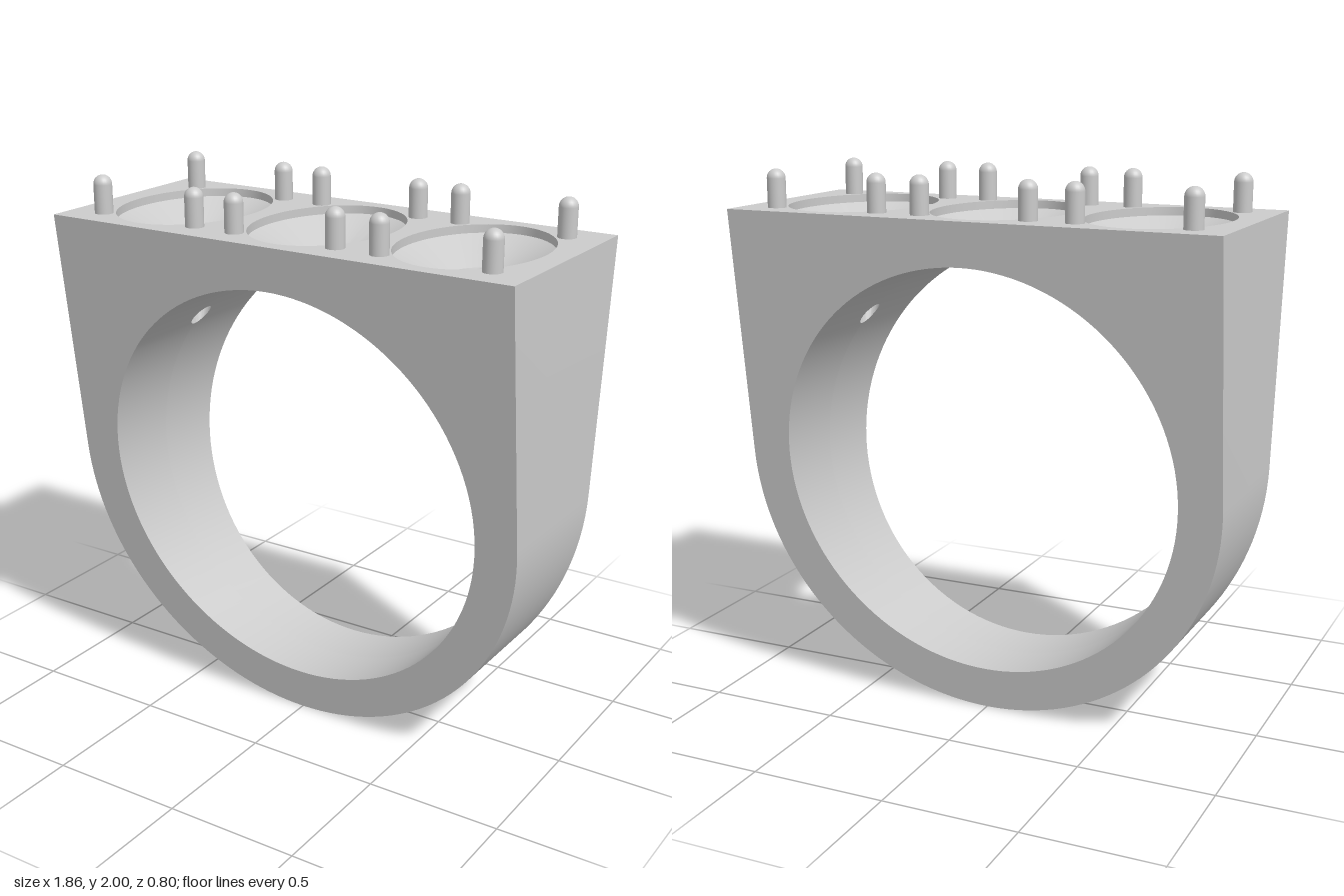
import * as THREE from 'three';
import { toCreasedNormals } from 'three/addons/utils/BufferGeometryUtils.js';

const OUTER = 0.928, BORE = 0.77, MID = 0.93, TOP = 1.86;
const SEAT_X = [-0.585, 0, 0.585];
const RIM = 0.257, WAIST = 0.11, RATIO = 1.335; // seat half-widths in x, z/x ratio
const STEP_Y = 1.83, WAIST_Y = 1.75;

// Half thickness of the band, widening upwards
const halfDepth = (y) => 0.18 + 0.22 * y / TOP;
// Half-width of the lower, steep part of a seat
const holeRadius = (y) => WAIST - 0.2435 * (WAIST_Y - y);
const V = (x, y, z) => new THREE.Vector3(x, y, z);

// Surface through rows of points
function loft(rows) {
  const n = rows[0].length, index = [];
  for (let i = 0; i < rows.length - 1; i++) {
    for (let j = 0; j < n - 1; j++) {
      const a = i * n + j, b = a + n;
      index.push(a, b, a + 1, a + 1, b, b + 1);
    }
  }
  const g = new THREE.BufferGeometry().setFromPoints(rows.flat());
  g.setIndex(index);
  return toCreasedNormals(g, 0.45);
}

// Point where a seat's steep cone breaks through into the finger hole
function trimPoint(xc, phi) {
  let lo = 1.3, hi = WAIST_Y;
  for (let i = 0; i < 40; i++) {
    const y = (lo + hi) / 2, x = xc + holeRadius(y) * Math.cos(phi);
    if (x * x + (y - MID) ** 2 > BORE * BORE) hi = y; else lo = y;
  }
  const r = holeRadius(lo);
  return V(xc + r * Math.cos(phi), lo, RATIO * r * Math.sin(phi));
}

// Stations around the finger hole: position and half-width of any opening there
function boreStations() {
  const out = [];
  const add = (a, xc) => {
    const x = BORE * Math.sin(a), y = MID + BORE * Math.cos(a);
    const h = xc === undefined ? 0
      : RATIO * Math.sqrt(Math.max(0, holeRadius(y) ** 2 - (x - xc) ** 2));
    out.push({ x, y, h });
  };
  const angleOf = (p) => Math.atan2(p.x, p.y - MID);
  const span = (a, b) => {
    const n = Math.max(2, Math.ceil((b - a) / 0.05));
    for (let i = 0; i < n; i++) add(a + (b - a) * i / n);
  };
  let a = -Math.PI;
  for (const xc of SEAT_X) {
    const start = angleOf(trimPoint(xc, Math.PI)), end = angleOf(trimPoint(xc, 0));
    span(a, start);
    for (let i = 0; i < 24; i++) {
      add(start + (end - start) * (1 - Math.cos(Math.PI * i / 24)) / 2, i ? xc : undefined);
    }
    a = end;
  }
  span(a, Math.PI);
  add(Math.PI);
  return out;
}

export function createModel() {
  const model = new THREE.Group();
  const material = new THREE.MeshStandardMaterial({ color: 0xcccccc });
  const add = (name, geometry, parent = model) => {
    const mesh = new THREE.Mesh(geometry, material);
    mesh.name = name;
    parent.add(mesh);
    return mesh;
  };

  // Outer U-shaped wall
  const outline = [new THREE.Vector2(-OUTER, TOP)];
  for (let i = 0; i <= 72; i++) {
    const t = Math.PI * (1 + i / 72);
    outline.push(new THREE.Vector2(OUTER * Math.cos(t), MID + MID * Math.sin(t)));
  }
  outline.push(new THREE.Vector2(OUTER, TOP));
  add('outerWall', loft([1, -1].map((s) => outline.map((p) => V(p.x, p.y, s * halfDepth(p.y))))));

  // Finger hole wall, split in two halves around the seat openings
  const stations = boreStations();
  const edge = (s) => stations.map((p) => V(p.x, p.y, s * halfDepth(p.y)));
  const lip = (s) => stations.map((p) => V(p.x, p.y, s * p.h));
  add('fingerHoleFrontHalf', loft([edge(1), lip(1)]));
  add('fingerHoleBackHalf', loft([lip(-1), edge(-1)]));

  // Sloping front and back faces
  const faceShape = new THREE.Shape(outline);
  faceShape.holes.push(new THREE.Path(stations.slice(0, -1).map((p) => new THREE.Vector2(p.x, p.y))));
  const face = new THREE.ShapeGeometry(faceShape);
  const pos = face.attributes.position;
  for (let i = 0; i < pos.count; i++) pos.setZ(i, halfDepth(pos.getY(i)));
  face.computeVertexNormals();
  add('frontFace', face);
  add('backFace', face).rotation.y = Math.PI;

  // Flat top with three oval openings
  const N = 72;
  const oval = (xc, r, y) => Array.from({ length: N + 1 }, (_, i) => {
    const t = 2 * Math.PI * i / N;
    return V(xc + r * Math.cos(t), y, RATIO * r * Math.sin(t));
  });
  const d = halfDepth(TOP);
  const deck = new THREE.Shape([[-OUTER, -d], [OUTER, -d], [OUTER, d], [-OUTER, d]]
    .map(([x, y]) => new THREE.Vector2(x, y)));
  for (const xc of SEAT_X) {
    deck.holes.push(new THREE.Path(oval(xc, RIM, 0).slice(0, -1).map((p) => new THREE.Vector2(p.x, p.z))));
  }
  add('topDeck', new THREE.ShapeGeometry(deck).rotateX(-Math.PI / 2).translate(0, TOP, 0));

  // Stone seats: short rim, shallow cone, steep cone trimmed by the finger hole
  for (const xc of SEAT_X) {
    const trim = Array.from({ length: N + 1 }, (_, i) => trimPoint(xc, 2 * Math.PI * i / N));
    add('stoneSeat', loft([oval(xc, RIM, TOP), oval(xc, RIM, STEP_Y), oval(xc, WAIST, WAIST_Y), trim]));
  }

  // Four round-tipped prongs around each seat
  const prongs = new THREE.Group();
  prongs.name = 'prongs';
  model.add(prongs);
  const prong = new THREE.CapsuleGeometry(0.034, 0.132, 8, 24);
  for (const xc of SEAT_X) {
    for (const sx of [-1, 1]) {
      for (const sz of [-1, 1]) {
        add('prong', prong, prongs).position.set(xc + sx * 0.207, 1.9, sz * 0.279);
      }
    }
  }
  return model;
}
